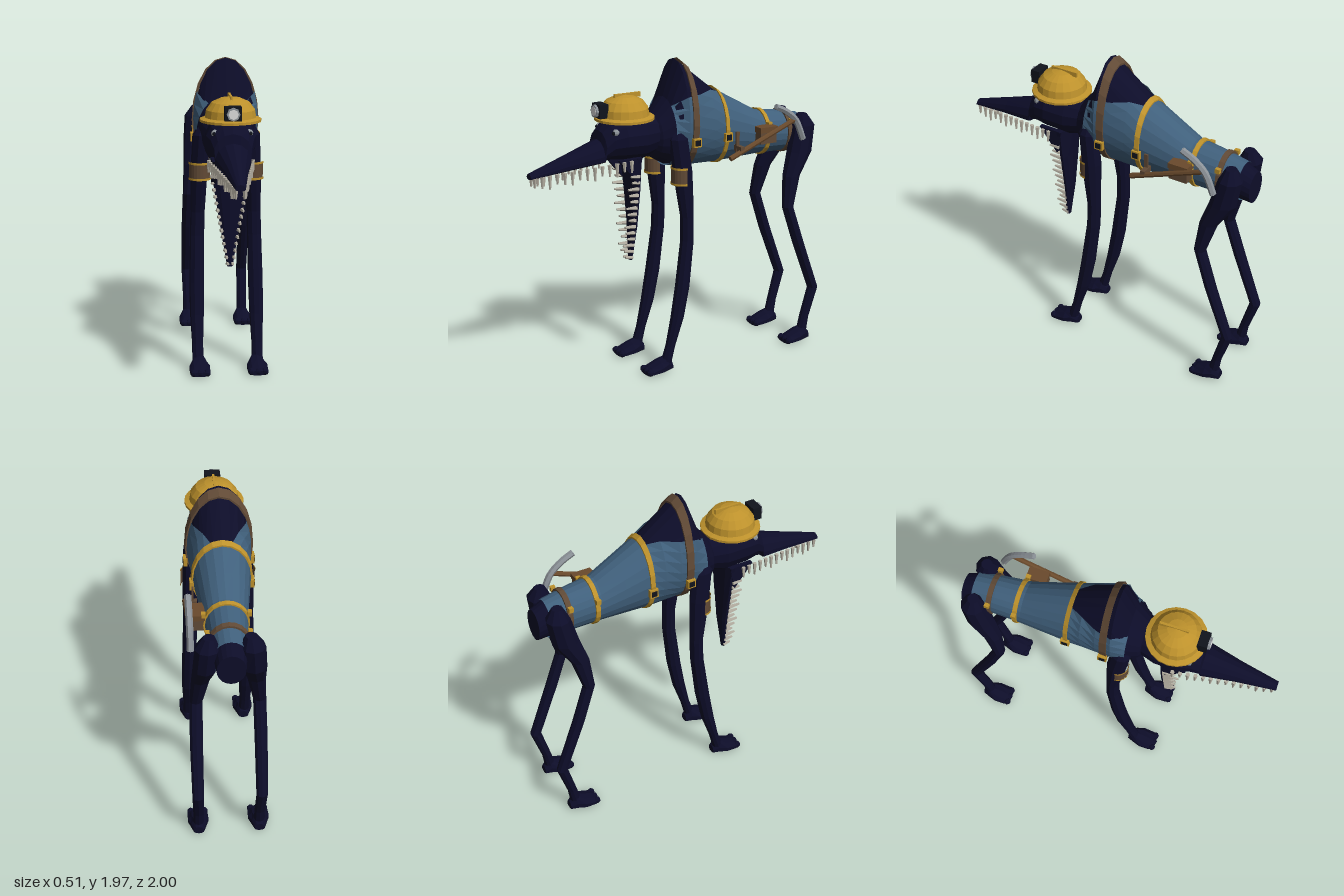
import * as THREE from 'three';

const mat = (name, color, side = THREE.FrontSide) =>
  Object.assign(new THREE.MeshStandardMaterial({ color, side }), { name });

export function createModel() {
  const root = new THREE.Group();
  root.name = 'longLeggedMinerBeast';
  const D = THREE.DoubleSide;
  const skin = mat('navy hide', 0x0d0d29), cloth = mat('blue vest', 0x40607c, D), yellow = mat('yellow', 0xbe922c, D),
    brown = mat('brown leather', 0x614a36, D), wood = mat('wood', 0x6a4a2c), metal = mat('grey metal', 0x8c9298),
    bone = mat('tooth', 0xb5afa2), black = mat('black', 0x10131c), glass = mat('lamp glass', 0xdedede);

  const V = (x, y, z) => new THREE.Vector3(x, y, z);
  // Every part gets faceted normals
  const add = (name, geo, material, parent = root) => {
    const g = geo.index ? geo.toNonIndexed() : geo;
    g.computeVertexNormals();
    const m = new THREE.Mesh(g, material);
    m.name = name;
    parent.add(m);
    return m;
  };
  const box = (name, w, h, d, x, y, z, material) =>
    add(name, new THREE.BoxGeometry(w, h, d).translate(x, y, z), material);
  const rod = (name, a, b, r0, r1, sides, material, parent) => {
    const dir = b.clone().sub(a), mid = a.clone().add(b).multiplyScalar(0.5);
    const g = new THREE.CylinderGeometry(r1, r0, dir.length(), sides);
    g.applyQuaternion(new THREE.Quaternion().setFromUnitVectors(V(0, 1, 0), dir.normalize()));
    return add(name, g.translate(mid.x, mid.y, mid.z), material, parent);
  };

  // Skin a list of rings, each ring a list of points
  const loft = (rings, caps = true) => {
    const n = rings[0].length, pos = [], idx = [];
    rings.forEach(r => r.forEach(p => pos.push(p.x, p.y, p.z)));
    for (let i = 0; i < rings.length - 1; i++)
      for (let j = 0; j < n - 1; j++) {
        const a = i * n + j, d = a + n;
        idx.push(a, a + 1, d + 1, a, d + 1, d);
      }
    if (caps) [0, rings.length - 1].forEach((i, end) => {
      const c = V(0, 0, 0), k = pos.length / 3;
      for (let j = 0; j < n - 1; j++) c.addScaledVector(rings[i][j], 1 / (n - 1));
      pos.push(c.x, c.y, c.z);
      for (let j = i * n; j < i * n + n - 1; j++) end ? idx.push(k, j, j + 1) : idx.push(k, j + 1, j);
    });
    const g = new THREE.BufferGeometry();
    g.setAttribute('position', new THREE.Float32BufferAttribute(pos, 3));
    g.setIndex(idx);
    return g;
  };
  // Upright cross-section [z, bottom, top, halfWidth, middle], open at the top by angle a0
  const section = ([z, b, t, w, m], n = 20, off = 0, a0 = 0, cx = 0) => {
    const yc = b + (t - b) * m, ring = [];
    for (let j = 0; j <= n; j++) {
      const a = a0 + (j / n) * (Math.PI * 2 - 2 * a0), c = Math.cos(a);
      ring.push(V(cx + (w + off) * Math.sin(a), yc + ((c > 0 ? t - yc : yc - b) + off) * c, z));
    }
    return ring;
  };
  // Level cross-section for limbs that run downward
  const level = (x, y, z, rx, rz, n = 9) => Array.from({ length: n + 1 }, (_, j) => {
    const a = (j / n) * Math.PI * 2;
    return V(x + rx * Math.sin(a), y, z - rz * Math.cos(a));
  });

  // Humped body
  const bodyRows = [
    [0.18, 1.38, 1.62, 0.11, 0.5], [0.155, 1.355, 1.65, 0.14, 0.5], [0.08, 1.31, 1.74, 0.178, 0.5],
    [0, 1.3, 1.97, 0.193, 0.42], [-0.29, 1.29, 1.74, 0.165, 0.5], [-0.6, 1.3, 1.57, 0.12, 0.5],
    [-0.9, 1.29, 1.53, 0.1, 0.5], [-1, 1.28, 1.48, 0.085, 0.5]];
  add('body', loft(bodyRows.map(r => section(r))), skin);
  const rowAt = z => {
    let i = 0;
    while (i < bodyRows.length - 2 && bodyRows[i + 1][0] > z) i++;
    const p = bodyRows[i], q = bodyRows[i + 1], k = (z - p[0]) / (q[0] - p[0]);
    return p.map((v, e) => v + (q[e] - v) * k);
  };

  // Vest, open over the hump
  const vestRows = [[0.085, 0.65], [0, 1.12], [-0.1, 0.95], [-0.2, 0.62], [-0.28, 0.35], [-0.3, 0],
    [-0.45, 0], [-0.6, 0], [-0.78, 0], [-0.93, 0]];
  add('vest', loft(vestRows.map(([z, a]) => section(rowAt(z), 20, 0.01, a)), false), cloth);

  // Straps and buckles
  [[-0.045, 0.022, brown], [-0.29, 0.014, yellow], [-0.635, 0.014, yellow], [-0.81, 0.016, brown]].forEach(([z, h, m], i) => {
    const rings = [[h, 0.008], [h, 0.02], [-h, 0.02], [-h, 0.008]].map(([dz, o]) => section(rowAt(z + dz), 20, o));
    add('strap', loft(rings, false), m);
    const r = rowAt(z), size = i < 2 ? 0.055 : 0.03;
    for (const s of [-1, 1]) {
      const y = i < 2 ? 1.47 : 1.5, x = s * (r[3] + 0.017);
      box('buckleFrame', 0.025, size, size, x, y, z, yellow);
      if (i < 2) box('buckleCentre', 0.03, 0.036, 0.036, x, y, z, black);
    }
  });

  // Head and upper jaw
  const headRows = [
    [1, 1.335, 1.372, 0.03, 0.3], [0.75, 1.36, 1.455, 0.068, 0.25], [0.54, 1.385, 1.525, 0.11, 0.2],
    [0.53, 1.39, 1.58, 0.115, 0.4], [0.48, 1.39, 1.63, 0.132, 0.5], [0.4, 1.38, 1.66, 0.155, 0.5],
    [0.26, 1.37, 1.66, 0.15, 0.5], [0.12, 1.41, 1.63, 0.11, 0.5]];
  add('headAndUpperJaw', loft(headRows.map(r => section(r, 14))), skin);

  // Hanging lower jaw
  add('lowerJaw', loft([[1.4, 0.31, 0.125, 0.04], [1.2, 0.303, 0.1, 0.028], [0.95, 0.303, 0.058, 0.024],
    [0.72, 0.318, 0.018, 0.013]].map(([y, z, w, d]) => level(0, y, z, w, d, 10))), skin);
  const cheek = new THREE.Shape([[0.45, 1.4], [0.29, 1.4], [0.32, 1.24]].map(p => new THREE.Vector2(...p)));

  for (const s of [-1, 1]) {
    add('cheek', new THREE.ExtrudeGeometry(cheek, { depth: 0.03, bevelEnabled: false })
      .rotateY(-Math.PI / 2).translate(s * 0.1 + 0.015, 0, 0), skin);

    // Teeth
    for (let i = 0; i < 14; i++) {
      const k = i / 13, z = 0.975 - k * 0.6, x = s * (0.024 + k * 0.108), y = 1.345 + k * 0.05;
      const len = 0.06 + (i % 3) * 0.012;
      rod('upperTooth', V(x, y, z), V(x * 1.03, y - len, z), 0.014, 0.006, 5, bone);
      const ly = 0.735 + k * 0.55, lx = s * (0.014 + k * 0.098);
      rod('lowerTooth', V(lx, ly, 0.31), V(lx * 1.05, ly + 0.005, 0.36 + (i % 3) * 0.012), 0.014, 0.007, 5, bone);
    }

    // Eyes
    add('eye', new THREE.SphereGeometry(0.023, 8, 6).translate(s * 0.103, 1.575, 0.465), metal);
    add('pupil', new THREE.SphereGeometry(0.012, 6, 5).translate(s * 0.108, 1.575, 0.482), black);

    // Legs: rows of [x, y, z, rx, rz]
    const limb = (name, rows) => add(name, loft(rows.map(([x, y, z, rx, rz]) => level(s * x, y, z, rx, rz))), skin);
    limb('frontLeg', [[0.145, 1.55, 0.06, 0.035, 0.035], [0.155, 1.5, 0.06, 0.057, 0.062], [0.166, 1.3, 0.035, 0.056, 0.063],
      [0.172, 1.18, 0.025, 0.052, 0.056], [0.178, 1, 0.01, 0.046, 0.042], [0.182, 0.85, 0.012, 0.046, 0.042],
      [0.188, 0.55, 0.05, 0.048, 0.046], [0.19, 0.35, 0.088, 0.045, 0.042], [0.19, 0.17, 0.138, 0.036, 0.03],
      [0.19, 0.06, 0.17, 0.036, 0.035]]);
    limb('hindLeg', [[0.12, 1.54, -0.895, 0.035, 0.035], [0.13, 1.47, -0.9, 0.075, 0.075], [0.142, 1.3, -0.865, 0.075, 0.085],
      [0.165, 1.15, -0.79, 0.056, 0.058], [0.19, 0.95, -0.75, 0.04, 0.037], [0.195, 0.7, -0.835, 0.04, 0.038],
      [0.195, 0.36, -0.965, 0.036, 0.035], [0.19, 0.16, -0.905, 0.034, 0.03], [0.19, 0.06, -0.885, 0.035, 0.035]]);

    // Feet with toes
    for (const [x, heel] of [[0.183, 0.13], [0.19, -0.93]]) {
      const rows = [[0.19, 0.002, 0.035, 0.05], [0.16, 0, 0.055, 0.066], [0.09, 0, 0.085, 0.068], [0.04, 0, 0.105, 0.05], [0, 0.005, 0.06, 0.032]];
      add('foot', loft(rows.map(([z, b, t, w]) => section([heel + z, b, t, w, 0.3], 10, 0, 0, s * x))), skin);
      for (const t of [-1, 0, 1])
        add('toe', new THREE.SphereGeometry(0.024, 7, 5).translate(s * x + t * 0.042, 0.024, heel + 0.175), skin);
    }

    // Leg guards on the front legs
    const guard = (name, r, h, y, m, start, sweep) =>
      add(name, new THREE.CylinderGeometry(r, r, h, 10, 1, true, start, sweep).translate(s * 0.166, y, 0.04), m);
    guard('legGuard', 0.066, 0.11, 1.27, brown, -Math.PI / 2, Math.PI);
    guard('legGuardTopBand', 0.07, 0.014, 1.32, yellow, -Math.PI / 2, Math.PI);
    guard('legGuardLowerBand', 0.07, 0.014, 1.22, yellow, -Math.PI / 2, Math.PI);
  }

  // Hard hat with ridge and lamp
  const hat = [[0.15, 1.635], [0.186, 1.63], [0.186, 1.645], [0.155, 1.655], [0.148, 1.7], [0.115, 1.745], [0.06, 1.77], [0, 1.78]];
  add('hardHat', new THREE.LatheGeometry(hat.map(p => new THREE.Vector2(...p)), 20).translate(0, 0, 0.35), yellow);
  box('hatRidge', 0.014, 0.03, 0.18, 0, 1.772, 0.33, yellow);
  box('lampHousing', 0.1, 0.085, 0.06, 0, 1.7, 0.515, black);
  rod('lampRim', V(0, 1.7, 0.53), V(0, 1.7, 0.56), 0.04, 0.04, 8, metal);
  rod('lampGlass', V(0, 1.7, 0.558), V(0, 1.7, 0.563), 0.03, 0.03, 8, glass);

  // Side pouch
  box('pouch', 0.07, 0.1, 0.12, 0.165, 1.445, -0.585, brown);
  box('pouchFlap', 0.08, 0.035, 0.13, 0.165, 1.485, -0.585, wood);

  // Pickaxe and its holder
  rod('pickHandle', V(0.222, 1.34, -0.28), V(0.222, 1.535, -0.77), 0.018, 0.016, 8, wood);
  box('pickHolder', 0.08, 0.035, 0.03, 0.195, 1.39, -0.365, brown);
  box('pickHolderStrap', 0.012, 0.13, 0.025, 0.18, 1.43, -0.36, brown);
  const arc = new THREE.CatmullRomCurve3([V(0.222, 1.635, -0.62), V(0.222, 1.595, -0.7), V(0.222, 1.53, -0.775), V(0.222, 1.4, -0.835)]);
  add('pickHead', new THREE.TubeGeometry(arc, 12, 0.021, 6), metal);
  for (const [p, q] of [[0, 0.02], [1, 0.98]]) {
    const a = arc.getPoint(p), b = arc.getPoint(q);
    rod('pickTip', b, a.clone().lerp(b, -0.3), 0.021, 0.018, 6, metal);
  }
  return root;
}
